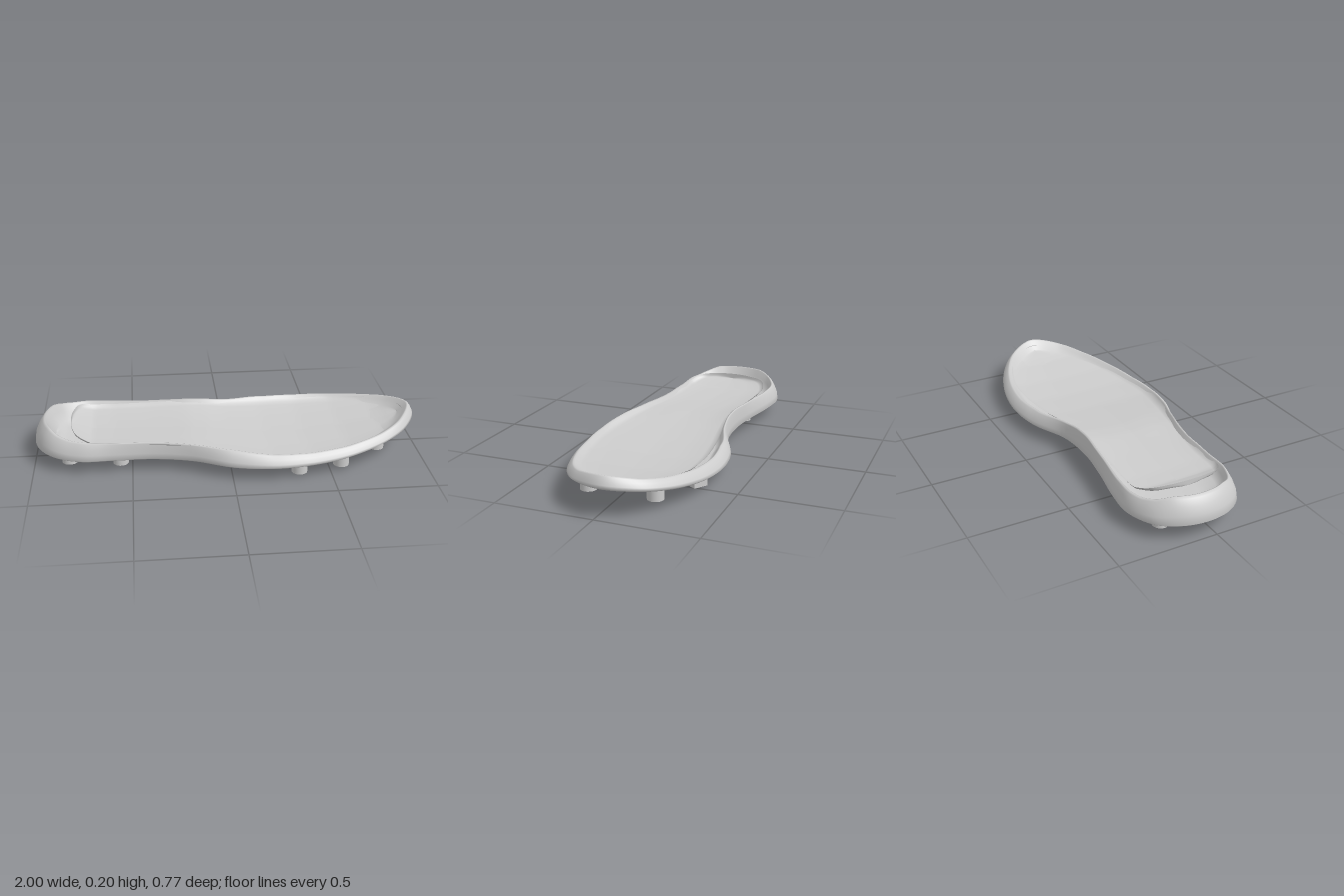
import * as THREE from 'three';

const N = 176; // samples around an outline, half on each side

// Linear lookup in a table of [x, value]
function lookup(table, x) {
  if (x <= table[0][0]) return table[0][1];
  for (let k = 1; k < table.length; k++) {
    const [x0, v0] = table[k - 1], [x1, v1] = table[k];
    if (x <= x1) return v0 + (v1 - v0) * (x - x0) / (x1 - x0);
  }
  return table[table.length - 1][1];
}

// Closed outline from stations [x, zBack, zFront] between the heel and toe tips
function outline(heel, stations, toe) {
  const pts = [heel, ...stations.map(s => [s[0], s[1]]), toe,
    ...stations.slice().reverse().map(s => [s[0], s[2]])];
  const curve = new THREE.CatmullRomCurve3(pts.map(p => new THREE.Vector3(p[0], 0, p[1])), true);
  return Array.from({ length: N }, (_, i) => {
    const p = curve.getPoint(i / N), t = curve.getTangent(i / N);
    return { x: p.x, z: p.z, nx: -t.z, nz: t.x, side: i <= N / 2 ? 'back' : 'front' };
  });
}

// Skin through closed rings; each ring has inset, scale towards the midline and height
function skin(line, rings) {
  const pos = [], index = [];
  for (const { inset, s = 1, y } of rings) {
    const ring = line.map(p => {
      const d = inset(p);
      return [p.x + p.nx * d, p.z + p.nz * d];
    });
    line.forEach((p, i) => {
      const [x, z] = ring[i], [mx, mz] = ring[(N - i) % N];
      const cx = (x + mx) / 2, cz = (z + mz) / 2;
      pos.push(cx + (x - cx) * s, y(p), cz + (z - cz) * s);
    });
  }
  for (let j = 0; j < rings.length - 1; j++) {
    for (let i = 0; i < N; i++) {
      const k = (i + 1) % N;
      const a = j * N + i, b = j * N + k, c = b + N, d = a + N;
      index.push(a, c, b, a, d, c);
    }
  }
  const geo = new THREE.BufferGeometry();
  geo.setAttribute('position', new THREE.Float32BufferAttribute(pos, 3));
  geo.setIndex(index);
  geo.computeVertexNormals();
  return geo;
}

// Underside height with toe spring and a slightly raised heel
const bottomY = x => 0.06 + 0.08 * Math.max(0, (x - 0.3) / 0.7) ** 2
  + 0.012 * Math.max(0, (-x - 0.5) / 0.5) ** 2;

// Rim height on either side
const rimTable = {
  back: [[-0.96, 0.205], [-0.9, 0.185], [-0.82, 0.17], [-0.6, 0.163], [-0.4, 0.168], [-0.2, 0.178],
    [-0.1, 0.173], [0, 0.158], [0.2, 0.14], [0.4, 0.132], [0.6, 0.138], [0.8, 0.158], [0.92, 0.18], [1, 0.205]],
  front: [[-0.96, 0.205], [-0.9, 0.185], [-0.82, 0.17], [-0.6, 0.161], [-0.2, 0.16],
    [0, 0.148], [0.2, 0.128], [0.4, 0.122], [0.6, 0.13], [0.8, 0.152], [0.92, 0.178], [1, 0.205]],
};
const rimY = p => lookup(rimTable[p.side], p.x);

// How far the wall leans in from its widest line to the rim
const leanTable = {
  back: [[-1, 0.055], [-0.8, 0.035], [-0.6, 0.025], [-0.3, 0.008], [0, 0.015], [0.25, 0.045], [0.6, 0.04], [1, 0.03]],
  front: [[-1, 0.055], [-0.8, 0.035], [-0.5, 0.01], [-0.2, 0.008], [0, 0.04], [0.2, 0.042], [0.6, 0.035], [1, 0.03]],
};
const lean = p => lookup(leanTable[p.side], p.x);

export function createModel() {
  const group = new THREE.Group();
  const grey = new THREE.MeshStandardMaterial({ color: 0xcccccc, side: THREE.DoubleSide });
  grey.name = 'light grey';
  const add = (name, geo) => {
    const mesh = new THREE.Mesh(geo, grey);
    mesh.name = name;
    group.add(mesh);
    return mesh;
  };

  // Sole shell: underside, rounded flank, rim, inner wall and floor
  const soleLine = outline([-1, -0.05], [
    [-0.975, -0.17, 0.075], [-0.9, -0.275, 0.17], [-0.76, -0.33, 0.225], [-0.6, -0.32, 0.222],
    [-0.4, -0.285, 0.222], [-0.2, -0.264, 0.262], [0, -0.283, 0.35], [0.2, -0.365, 0.382],
    [0.4, -0.39, 0.366], [0.6, -0.366, 0.32], [0.8, -0.29, 0.23], [0.93, -0.19, 0.12],
  ], [1, -0.04]);
  const b = p => bottomY(p.x);
  const between = f => p => b(p) + f * (rimY(p) - b(p));
  add('soleShell', skin(soleLine, [
    { inset: () => 0.035, s: 0, y: b },
    { inset: () => 0.035, s: 0.5, y: b },
    { inset: () => 0.035, y: b },
    { inset: () => 0.012, y: p => b(p) + 0.004 },
    { inset: () => 0, y: p => b(p) + 0.014 },
    { inset: p => 0.12 * lean(p), y: between(0.42) },
    { inset: p => 0.45 * lean(p), y: between(0.72) },
    { inset: p => 0.8 * lean(p), y: between(0.93) },
    { inset: lean, y: rimY },
    { inset: p => lean(p) + 0.008, y: p => rimY(p) - 0.003 },
    { inset: p => lean(p) + 0.02, y: between(0.7) },
    { inset: p => lean(p) + 0.05, y: between(0.3) },
    { inset: p => lean(p) + 0.05, s: 0.5, y: between(0.25) },
    { inset: p => lean(p) + 0.05, s: 0, y: between(0.25) },
  ]));

  // Dished insole with a raised lip at the heel
  const insoleLine = outline([-0.81, -0.04], [
    [-0.8, -0.14, 0.07], [-0.77, -0.225, 0.145], [-0.7, -0.26, 0.188], [-0.5, -0.262, 0.203],
    [-0.2, -0.25, 0.254], [0, -0.262, 0.297], [0.2, -0.293, 0.334], [0.4, -0.31, 0.322],
    [0.6, -0.302, 0.275], [0.8, -0.235, 0.175], [0.9, -0.15, 0.08],
  ], [0.94, -0.035]);
  const lip = p => 0.03 * Math.max(0, (-0.7 - p.x) / 0.11);
  const dish = depth => p => rimY(p) - 0.006 + lip(p) - depth;
  const flush = () => 0;
  const mid = depth => p => {
    const y = (rimY({ x: p.x, side: 'back' }) + rimY({ x: p.x, side: 'front' })) / 2;
    return y - 0.006 + lip(p) - depth;
  };
  add('insole', skin(insoleLine, [
    { inset: flush, y: dish(0) },
    { inset: flush, s: 0.96, y: dish(0.012) },
    { inset: flush, s: 0.88, y: dish(0.02) },
    { inset: flush, s: 0.5, y: mid(0.026) },
    { inset: flush, s: 0, y: mid(0.028) },
  ]));

  // Round studs: [x, z, lowest y]
  const studs = [[0.77, 0.135, 0.038], [0.77, -0.2, 0.04], [0.56, 0.262, 0.018], [0.34, 0.295, 0.005],
    [-0.56, 0.108, 0], [-0.56, -0.19, 0.003], [-0.82, 0.09, 0.01], [-0.82, -0.19, 0.01]];
  for (const [x, z, y0] of studs) {
    const top = bottomY(x) + 0.012;
    add('roundStud', new THREE.CylinderGeometry(0.04, 0.04, top - y0, 32)).position.set(x, (top + y0) / 2, z);
  }

  // Bar studs: [x, z, lowest y, length, turn]
  const bars = [[0.64, -0.02, 0.026, 0.1, Math.PI / 2], [0.42, -0.007, 0.005, 0.1, Math.PI / 2],
    [0.25, -0.22, 0.014, 0.1, 0.5], [0.49, -0.3, 0.01, 0.075, -0.6]];
  for (const [x, z, y0, length, turn] of bars) {
    const top = bottomY(x) + 0.01;
    const bar = add('barStud', new THREE.BoxGeometry(length, top - y0, 0.042));
    bar.position.set(x, (top + y0) / 2, z);
    bar.rotation.y = turn;
  }
  return group;
}
